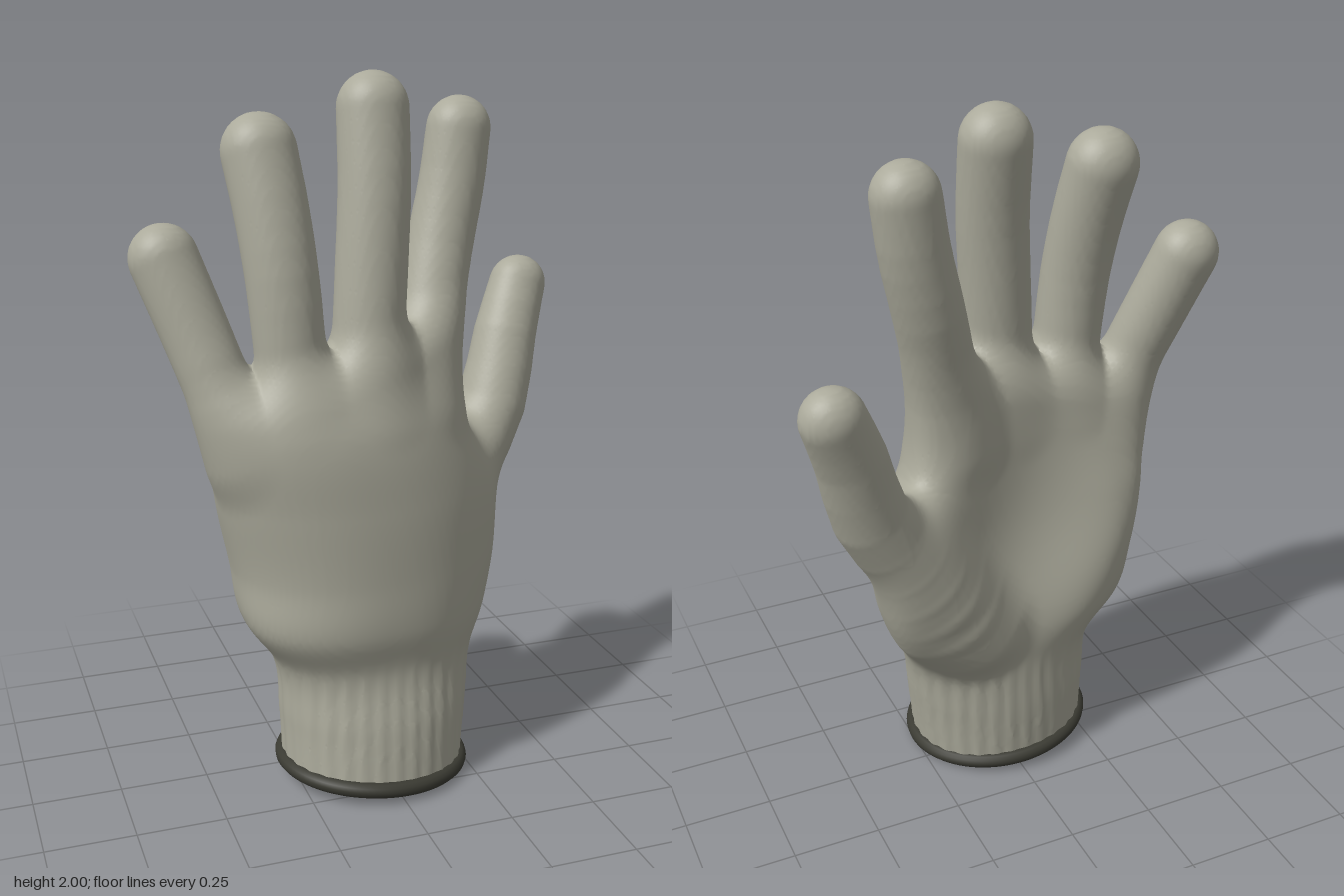
import * as THREE from 'three';

// Palm and cuff cross-sections: y, centre x, centre z, half width, half thickness, tilt, arch, squareness
const SECTIONS = [
  [0.03, -0.02, 0.08, 0.262, 0.235, 0, 0, 2.1],
  [0.2, -0.012, 0.066, 0.275, 0.23, -0.01, 0, 2.1],
  [0.37, -0.006, 0.052, 0.297, 0.217, -0.05, 0.05, 2.2],
  [0.5, -0.015, 0.06, 0.372, 0.232, -0.12, 0.4, 2.6],
  [0.65, -0.005, 0.063, 0.405, 0.225, -0.14, 0.6, 2.8],
  [0.85, -0.035, 0.078, 0.415, 0.205, -0.14, 0.6, 2.8],
  [1.05, -0.095, 0.095, 0.378, 0.17, -0.14, 0.5, 2.6],
  [1.2, -0.11, 0.08, 0.36, 0.13, -0.16, 0.4, 2.4],
  [1.35, -0.11, 0.065, 0.35, 0.1, -0.18, 0.3, 2.3],
];

// Finger centre lines, with radius and z flattening at base and tip
const FINGERS = [
  { r: [0.13, 0.087], flat: [0.74, 1.15], path: [[0.14, 0.52, -0.05], [0.235, 0.67, -0.105], [0.34, 0.82, -0.142], [0.455, 1.0, -0.18], [0.515, 1.2, -0.225], [0.57, 1.343, -0.267]] },
  { r: [0.1, 0.092], flat: [1, 1.1], path: [[0.15, 1.08, 0.01], [0.185, 1.28, -0.03], [0.24, 1.5, -0.085], [0.285, 1.68, -0.11], [0.308, 1.828, -0.122]] },
  { r: [0.1, 0.099], flat: [1, 1.1], path: [[-0.04, 1.08, 0.09], [-0.028, 1.28, 0.08], [-0.012, 1.5, 0.062], [0.003, 1.7, 0.04], [0.01, 1.9, 0.005]] },
  { r: [0.095, 0.102], flat: [1, 1.1], path: [[-0.24, 1.08, 0.1], [-0.253, 1.28, 0.095], [-0.268, 1.48, 0.08], [-0.285, 1.65, 0.048], [-0.305, 1.798, 0.01]] },
  { r: [0.09, 0.094], flat: [1, 1.1], path: [[-0.38, 1.0, 0.085], [-0.438, 1.17, 0.07], [-0.495, 1.34, 0.025], [-0.56, 1.525, -0.025]] },
];

const smin = (a, b, k) => {
  const h = Math.max(k - Math.abs(a - b), 0) / k;
  return Math.min(a, b) - h * h * k * 0.25;
};
const smax = (a, b, k) => -smin(-a, -b, k);

// Split each finger curve into short tapered segments
function fingerSegments() {
  const out = [], N = 10;
  for (const { r, flat, path } of FINGERS) {
    const curve = new THREE.CatmullRomCurve3(path.map((p) => new THREE.Vector3(...p)));
    for (let i = 0; i < N; i++) {
      const a = curve.getPoint(i / N), d = curve.getPoint((i + 1) / N).sub(a);
      out.push({
        a, d, len2: d.lengthSq(),
        r0: THREE.MathUtils.lerp(r[0], r[1], i / N),
        dr: (r[1] - r[0]) / N,
        f0: THREE.MathUtils.lerp(flat[0], flat[1], i / N),
        df: (flat[1] - flat[0]) / N,
      });
    }
  }
  return out;
}

// Signed field of the whole glove: negative inside
function makeField() {
  const segments = fingerSegments();
  const sections = new THREE.CubicInterpolant(
    new Float32Array(SECTIONS.map((s) => s[0])),
    new Float32Array(SECTIONS.flatMap((s) => s.slice(1))), 7);

  return (x, y, z) => {
    // Palm and ribbed cuff
    const [cx, cz, a, b, tilt, arch, n] = sections.evaluate(THREE.MathUtils.clamp(y, 0.03, 1.35));
    const dx = x - cx, dz = z - cz - tilt * dx + arch * dx * dx;
    const u = Math.abs(dx) / a + 1e-5, v = Math.abs(dz) / b + 1e-5;
    const g = Math.pow(Math.pow(u, n) + Math.pow(v, n), 1 / n);
    const slope = Math.hypot(Math.pow(u / g, n - 1) / a, Math.pow(v / g, n - 1) / b);
    let palm = (g - 1) / slope;
    if (y < 0.42) {
      const fade = THREE.MathUtils.smoothstep(0.42 - y, 0, 0.12);
      palm += 0.0025 * fade * Math.cos(30 * Math.atan2(dz, dx));
    }
    palm = smax(palm, y - 1.28 - 0.25 * x, 0.1);

    // Hollow of the palm
    const hollow = Math.hypot((x + 0.05) * 0.95, (y - 0.88) * 0.7, z + 0.375) - 0.29;
    palm = smax(palm, -hollow, 0.1);

    // Fingers and thumb
    let fingers = 1e3;
    for (const s of segments) {
      const px = x - s.a.x, py = y - s.a.y, pz = z - s.a.z;
      const t = Math.min(1, Math.max(0, (px * s.d.x + py * s.d.y + pz * s.d.z) / s.len2));
      const qx = px - s.d.x * t, qy = py - s.d.y * t;
      const qz = (pz - s.d.z * t) * (s.f0 + s.df * t);
      const d = Math.sqrt(qx * qx + qy * qy + qz * qz) - s.r0 - s.dr * t;
      if (d < fingers) fingers = d;
    }
    return smin(palm, fingers, 0.09);
  };
}

// Skin the field with one vertex per crossed grid cell; the grid's sheared floor leaves the cuff open
function gloveGeometry() {
  const field = makeField(), h = 0.0125;
  const size = [116, 167, 62], origin = [-0.72, 0.036, -0.385];
  const stride = [1, size[0], size[0] * size[1]];
  const values = new Float32Array(size[0] * size[1] * size[2]);
  const place = (i, j, k) => {
    const x = origin[0] + i * h;
    return [x, origin[1] + j * h - 0.066 * x, origin[2] + k * h];
  };
  const eachPoint = (inset, visit) => {
    for (let k = 0; k < size[2] - inset; k++)
      for (let j = 0; j < size[1] - inset; j++)
        for (let i = 0; i < size[0] - inset; i++) visit(i, j, k, i + j * stride[1] + k * stride[2]);
  };
  eachPoint(0, (i, j, k, id) => { values[id] = field(...place(i, j, k)); });

  // Cell vertices: mean of the edge crossings
  const cellVertex = new Int32Array(values.length).fill(-1);
  const positions = [], indices = [];
  eachPoint(1, (i, j, k, id) => {
    const sum = [0, 0, 0];
    let count = 0;
    for (let c = 0; c < 8; c++) {
      const o = [c & 1, (c >> 1) & 1, c >> 2];
      const corner = id + o[0] + o[1] * stride[1] + o[2] * stride[2];
      const from = values[corner];
      for (let axis = 0; axis < 3; axis++) {
        if (o[axis]) continue;
        const to = values[corner + stride[axis]];
        if ((from < 0) === (to < 0)) continue;
        for (let m = 0; m < 3; m++) sum[m] += o[m];
        sum[axis] += from / (from - to);
        count++;
      }
    }
    if (!count) return;
    cellVertex[id] = positions.length / 3;
    positions.push(...place(i + sum[0] / count, j + sum[1] / count, k + sum[2] / count));
  });

  // One quad around each crossed grid edge
  eachPoint(1, (i, j, k, id) => {
    const at = [i, j, k];
    for (let axis = 0; axis < 3; axis++) {
      const b = (axis + 1) % 3, c = (axis + 2) % 3;
      const inside = values[id] < 0;
      if (!at[b] || !at[c] || inside === values[id + stride[axis]] < 0) continue;
      const q = [id - stride[b] - stride[c], id - stride[c], id, id - stride[b]].map((n) => cellVertex[n]);
      if (!inside) q.reverse();
      indices.push(q[0], q[1], q[2], q[0], q[2], q[3]);
    }
  });

  const geometry = new THREE.BufferGeometry();
  geometry.setAttribute('position', new THREE.Float32BufferAttribute(positions, 3));
  geometry.setIndex(indices);
  geometry.computeVertexNormals();
  return geometry;
}

// Rolled hem around the tilted cuff opening
function hemGeometry() {
  const points = [];
  for (let i = 0; i < 24; i++) {
    const t = (i / 24) * Math.PI * 2, x = -0.02 + 0.263 * Math.cos(t);
    points.push(new THREE.Vector3(x, 0.041 - 0.066 * x, 0.08 + 0.24 * Math.sin(t)));
  }
  return new THREE.TubeGeometry(new THREE.CatmullRomCurve3(points, true), 96, 0.022, 12, true);
}

export function createModel() {
  const knit = new THREE.MeshStandardMaterial({ color: 0xabaa9b, side: THREE.DoubleSide });
  knit.name = 'grey knit';
  const dark = new THREE.MeshStandardMaterial({ color: 0x3b3b33 });
  dark.name = 'dark hem';

  const group = new THREE.Group();
  group.name = 'glove';
  const add = (name, geometry, material) => {
    const mesh = new THREE.Mesh(geometry, material);
    mesh.name = name;
    group.add(mesh);
  };
  add('gloveBody', gloveGeometry(), knit);
  add('cuffHem', hemGeometry(), dark);
  return group;
}
